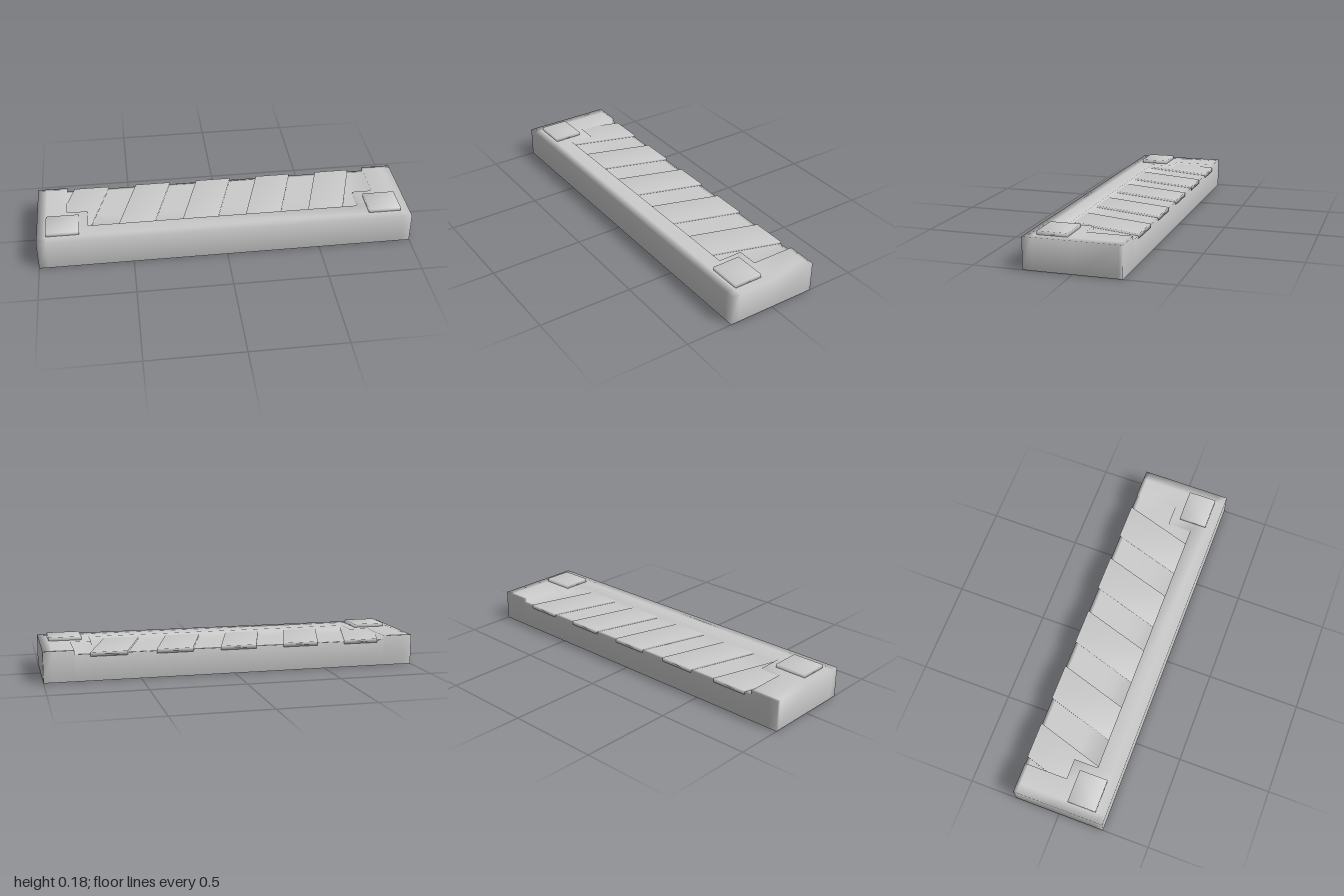
import * as THREE from 'three';
import { mergeVertices } from 'three/addons/utils/BufferGeometryUtils.js';

const BACK = -0.244, FRONT = 0.248, TOP = 0.162, FLOOR = 0.14;
const RIM = 0.025, HOLLOW = 0.022;

const material = new THREE.MeshStandardMaterial({ color: 0xcccccc });

// Welds all corners so the shading runs smoothly over the edges
function smooth(geometry) {
  geometry.deleteAttribute('normal');
  geometry.deleteAttribute('uv');
  const welded = mergeVertices(geometry, 1e-4);
  welded.computeVertexNormals();
  return welded;
}

// Collects quads, corners counter-clockwise from outside
class Quads {
  constructor() { this.points = []; }
  add(a, b, c, d) { this.points.push(...a, ...b, ...c, ...a, ...c, ...d); }
  build() {
    const g = new THREE.BufferGeometry();
    g.setAttribute('position', new THREE.Float32BufferAttribute(this.points, 3));
    return smooth(g);
  }
}

export function createModel() {
  const group = new THREE.Group();
  const addPart = (name, geometry) => {
    const mesh = new THREE.Mesh(geometry, material);
    mesh.name = name;
    group.add(mesh);
    return mesh;
  };
  const at = ([x, z], y) => [x, y, z];

  const xs = [-1, -0.95, -0.84, -0.73, 0.73, 0.84, 0.95, 1];
  const zs = [BACK, -0.225, -0.01, 0.12, 0.2, FRONT];
  const recessed = (x, z) =>
    (Math.abs(x) < 0.84 && z < -0.01) || (Math.abs(x) < 0.73 && z < 0.12);

  const shell = new Quads(), underside = new Quads();

  // Top deck and the stepped recess floor
  for (let i = 0; i < xs.length - 1; i++) {
    for (let j = 0; j < zs.length - 1; j++) {
      const [x0, x1, z0, z1] = [xs[i], xs[i + 1], zs[j], zs[j + 1]];
      const y = recessed((x0 + x1) / 2, (z0 + z1) / 2) ? FLOOR : TOP;
      shell.add([x0, y, z0], [x0, y, z1], [x1, y, z1], [x1, y, z0]);
    }
  }

  // Recess walls, open at the back
  const half = [[0.73, 0.12], [0.73, -0.01], [0.84, -0.01], [0.84, -0.225], [0.84, BACK]];
  const outline = [...half.map(([x, z]) => [-x, z]).reverse(), ...half];
  for (let i = 0; i < outline.length - 1; i++) {
    const a = outline[i], b = outline[i + 1];
    shell.add(at(a, FLOOR), at(a, TOP), at(b, TOP), at(b, FLOOR));
  }

  // Outer walls, bottom rim and the sunken panel underneath
  const ring = [
    ...zs.slice(0, -1).map(z => [-1, z]),
    ...xs.slice(0, -1).map(x => [x, FRONT]),
    ...zs.slice(1).reverse().map(z => [1, z]),
    ...xs.slice(1).reverse().map(x => [x, BACK]),
  ];
  const inset = ([x, z]) => [
    THREE.MathUtils.clamp(x, -1 + RIM, 1 - RIM),
    THREE.MathUtils.clamp(z, BACK + RIM, FRONT - RIM),
  ];
  ring.forEach((a, i) => {
    const b = ring[(i + 1) % ring.length];
    const p = inset(a), q = inset(b);
    const notch = a[1] === BACK && b[1] === BACK && Math.abs(a[0] + b[0]) / 2 < 0.84;
    const h = notch ? FLOOR : TOP;
    shell.add(at(a, 0), at(b, 0), at(b, h), at(a, h));
    shell.add(at(a, 0), at(p, 0), at(q, 0), at(b, 0));
    shell.add(at(p, 0), at(p, HOLLOW), at(q, HOLLOW), at(q, 0));
  });
  const w = 1 - RIM, zb = BACK + RIM, zf = FRONT - RIM;
  underside.add([-w, HOLLOW, zb], [w, HOLLOW, zb], [w, HOLLOW, zf], [-w, HOLLOW, zf]);

  addPart('body', shell.build());
  addPart('undersidePanel', underside.build());

  // Slanted plates lying in the recess, poking out slightly at the back
  const zBack = -0.247, zFront = 0.12, lean = 0.112, width = 0.192;
  for (let i = 0; i < 5; i++) {
    const x = -0.8 + i * 0.342;
    const shape = new THREE.Shape([
      new THREE.Vector2(x, -zBack),
      new THREE.Vector2(x - lean, -zFront),
      new THREE.Vector2(x - lean + width, -zFront),
      new THREE.Vector2(x + width, -zBack),
    ]);
    const plate = new THREE.ExtrudeGeometry(shape, { depth: 0.022, bevelEnabled: false });
    plate.rotateX(-Math.PI / 2);
    addPart('slantedPlate' + (i + 1), smooth(plate)).position.y = 0.128;
  }

  // Raised pads at the front corners
  for (const side of [-1, 1]) {
    const pad = addPart(side > 0 ? 'leftPad' : 'rightPad', smooth(new THREE.BoxGeometry(0.174, 0.03, 0.153)));
    pad.position.set(side * 0.864, 0.166, 0.116);
  }

  return group;
}
